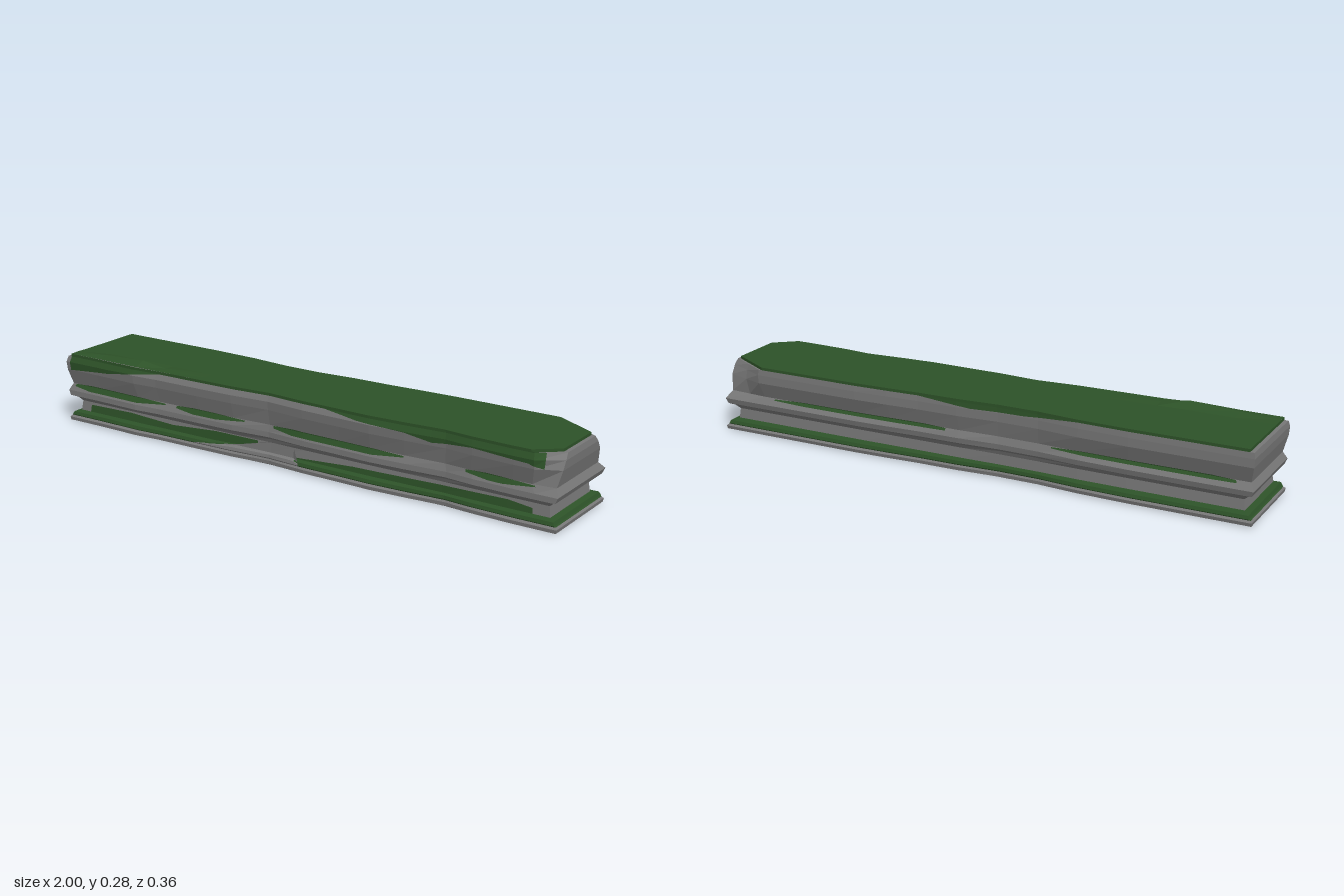
import * as THREE from 'three';

const stone = new THREE.MeshStandardMaterial({ color: 0x777777, flatShading: true, side: THREE.DoubleSide });
const moss = new THREE.MeshStandardMaterial({ color: 0x2d5228, flatShading: true, side: THREE.DoubleSide });

// moulding profile: height, front depth, back depth, end inset
const PROFILE = [
  [0, 0.155, 0.155, 0.015], [0.004, 0.172, 0.172, 0.002], [0.016, 0.174, 0.175, 0],
  [0.022, 0.165, 0.168, 0.006], [0.026, 0.17, 0.172, 0.01], [0.037, 0.165, 0.168, 0.015],
  [0.042, 0.142, 0.142, 0.035], [0.078, 0.137, 0.139, 0.04], [0.092, 0.15, 0.15, 0.025],
  [0.101, 0.175, 0.168, 0.008], [0.12, 0.174, 0.173, 0], [0.145, 0.16, 0.156, 0.014],
  [0.2, 0.178, 0.176, 0.002], [0.23, 0.181, 0.176, 0], [0.25, 0.172, 0.174, 0.004],
];
// stations along the beam, with the wear of the front and back at each
const XS = [-1, -0.86, -0.68, -0.58, -0.4, -0.25, -0.1, 0.05, 0.2, 0.32, 0.45, 0.6, 0.7, 0.85, 0.92, 1];
const WEAR_FRONT = [8, 8, 3, 10, 12, 15, 27, 15, 12, 8, 14, 25, 14, 8, 8, 8];
const WEAR_BACK = [0, 0, 0, 0, 6, 20, 22, 12, 10, 4, 0, 0, 0, 0, 0, 0];

function lerpTable(keys, values, k) {
  let i = 0;
  while (i < keys.length - 2 && k > keys[i + 1]) i++;
  const t = THREE.MathUtils.clamp((k - keys[i]) / (keys[i + 1] - keys[i]), 0, 1);
  return values[i] + (values[i + 1] - values[i]) * t;
}
const HEIGHTS = PROFILE.map(p => p[0]);
const column = c => PROFILE.map(p => p[c]);
const FRONT = column(1), BACK = column(2), INSET = column(3);

// point on the worn moulding; side is 1 for the front and -1 for the back
function surface(x, y, side, inset = lerpTable(HEIGHTS, INSET, y)) {
  let z = lerpTable(HEIGHTS, side > 0 ? FRONT : BACK, y);
  const wear = lerpTable(XS, side > 0 ? WEAR_FRONT : WEAR_BACK, x) / 1000;
  z -= wear * THREE.MathUtils.clamp((z - 0.13) / 0.045, 0, 1);
  // broken corners at the left end
  const high = THREE.MathUtils.clamp((y - 0.13) / 0.12, 0, 1);
  z -= high * (side > 0 ? 0.8 * Math.max(0, x - 0.92) : 0.55 * Math.max(0, x - 0.85));
  return new THREE.Vector3(x * (1 - inset), y, side * z);
}

function ring(y, inset) {
  return [...XS.map(x => surface(x, y, 1, inset)), ...[...XS].reverse().map(x => surface(x, y, -1, inset))];
}

// mesh from rows of points, each row joined to the next
function skin(name, material, rows, closed = false) {
  const pos = [];
  const tri = (...pts) => pts.forEach(p => pos.push(p.x, p.y, p.z));
  for (let r = 0; r < rows.length - 1; r++) {
    const n = rows[r].length;
    for (let i = 0; i < (closed ? n : n - 1); i++) {
      const j = (i + 1) % n;
      const a = rows[r][i], b = rows[r][j], c = rows[r + 1][j], d = rows[r + 1][i];
      tri(a, b, c);
      tri(a, c, d);
    }
  }
  const geometry = new THREE.BufferGeometry();
  geometry.setAttribute('position', new THREE.Float32BufferAttribute(pos, 3));
  geometry.computeVertexNormals();
  const mesh = new THREE.Mesh(geometry, material);
  mesh.name = name;
  return mesh;
}

// thin patch hugging one side; outline entries are x, lower y, upper y
function patch(name, material, side, outline, lift = 0.004) {
  const keys = outline.map(o => o[0]);
  const first = keys[0], last = keys[keys.length - 1];
  const xs = [...new Set([...keys, ...XS.filter(x => x > first && x < last)])].sort((a, b) => a - b);
  const columns = xs.map(x => {
    const low = lerpTable(keys, outline.map(o => o[1]), x);
    const top = lerpTable(keys, outline.map(o => o[2]), x);
    return [low, ...HEIGHTS, top].sort((a, b) => a - b).map(y => {
      const p = surface(x, THREE.MathUtils.clamp(y, low, top), side);
      p.z += side * lift;
      p.y += lift * 0.4;
      return p;
    });
  });
  const rows = columns[0].map((_, r) => columns.map(c => c[r]));
  if (side < 0) rows.reverse();
  return skin(name, material, rows);
}

export function createModel() {
  const group = new THREE.Group();
  group.name = 'mossyStoneBeam';
  const rings = HEIGHTS.map(y => ring(y));
  const n = XS.length;
  const halves = r => [r.slice(0, n), r.slice(n).reverse()];

  // stone body with its mossy lower ledge
  group.add(
    skin('plinth', stone, rings.slice(0, 4), true),
    skin('mossyLedge', moss, rings.slice(3, 7), true),
    skin('stoneBody', stone, rings.slice(6), true),
    skin('underside', stone, halves(rings[0]).reverse()),
    skin('stoneTop', stone, halves(rings[rings.length - 1])),
  );

  // moss blanket on top, with a hump near the front right
  const lower = ring(0.25, 0.018);
  const upper = lower.map(p => p.clone().setY(0.26));
  const [front, back] = halves(upper);
  const hump = x => 0.018 * Math.max(0, x < -0.68 ? 1 - (-0.68 - x) / 0.34 : 1 - (x + 0.68) / 0.12);
  const top = [[0, 0.1], [0.11, 1], [0.24, 0], [1, 0]].map(([t, h]) =>
    front.map((p, i) => {
      const q = p.clone().lerp(back[i], t);
      q.y += h * hump(XS[i]);
      return q;
    }));
  group.add(skin('mossEdge', moss, [lower, upper], true), skin('mossBlanket', moss, top));

  // moss hanging over the upper edges
  group.add(
    patch('frontDrapeRight', moss, 1, [[-0.98, 0.2, 0.255], [-0.8, 0.215, 0.258], [-0.65, 0.238, 0.258], [-0.56, 0.25, 0.255]]),
    patch('frontDrapeLeft', moss, 1, [[0.14, 0.25, 0.255], [0.27, 0.235, 0.255], [0.45, 0.228, 0.255],
      [0.55, 0.21, 0.255], [0.7, 0.225, 0.255], [0.9, 0.215, 0.255], [0.95, 0.2, 0.25]]),
    patch('backDrape', moss, -1, [[-0.4, 0.25, 0.255], [-0.2, 0.235, 0.255], [0, 0.232, 0.255], [0.2, 0.25, 0.255]]),
  );

  // streaks of moss in the middle groove
  [[1, -0.98, -0.55], [1, -0.5, -0.2], [1, -0.08, 0.45], [1, 0.68, 0.93], [-1, -0.95, -0.3], [-1, 0.1, 0.8]]
    .forEach(([side, x0, x1]) => {
      const low = side > 0 ? 0.127 : 0.135;
      group.add(patch('grooveMoss', moss, side,
        [[x0, 0.136, 0.144], [x0 + 0.08, low, 0.148], [x1 - 0.12, low, 0.147], [x1, 0.138, 0.142]]));
    });

  // moss climbing the neck at the front, and the worn bare spot between
  group.add(
    patch('neckMossRight', moss, 1, [[-0.95, 0.03, 0.068], [-0.75, 0.03, 0.072], [-0.55, 0.03, 0.062], [-0.35, 0.03, 0.075], [-0.16, 0.06, 0.075]]),
    patch('neckMossLeft', moss, 1, [[0, 0.025, 0.045], [0.25, 0.03, 0.06], [0.6, 0.03, 0.066], [0.85, 0.03, 0.07], [0.94, 0.03, 0.06]]),
    patch('bareSpot', stone, 1, [[-0.42, 0.02, 0.026], [-0.25, 0.019, 0.045], [-0.1, 0.018, 0.08], [0, 0.018, 0.08], [0.03, 0.02, 0.03]], 0.006),
  );
  return group;
}
